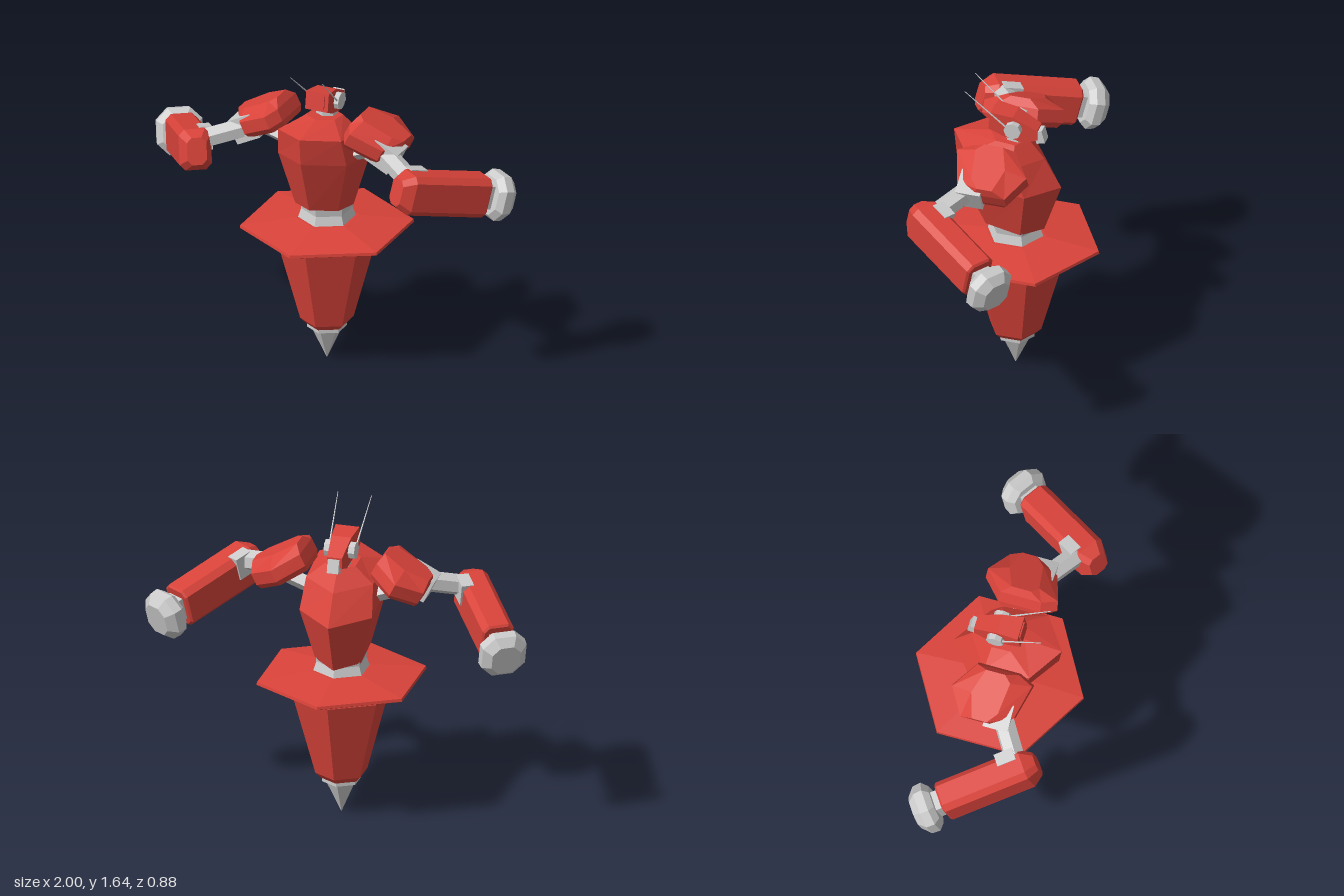
import * as THREE from 'three';

const red = new THREE.MeshStandardMaterial({ color: 0xd9433a, flatShading: true });
const grey = new THREE.MeshStandardMaterial({ color: 0xcccccc, flatShading: true });

function part(name, geometry, material, parent, x = 0, y = 0, z = 0) {
  const mesh = new THREE.Mesh(geometry, material);
  mesh.name = name;
  mesh.position.set(x, y, z);
  parent.add(mesh);
  return mesh;
}

// Skin over a list of rings (arrays of [x, y, z], counter-clockwise seen from the far end)
function loft(rings) {
  const n = rings[0].length, pos = rings.flat(2), idx = [];
  for (let r = 0; r < rings.length - 1; r++) {
    for (let j = 0; j < n; j++) {
      const a = r * n + j, b = r * n + (j + 1) % n;
      idx.push(a, b, b + n, a, b + n, a + n);
    }
  }
  const last = (rings.length - 1) * n;
  for (let j = 1; j < n - 1; j++) {
    idx.push(0, j + 1, j, last, last + j, last + j + 1);
  }
  const g = new THREE.BufferGeometry();
  g.setAttribute('position', new THREE.Float32BufferAttribute(pos, 3));
  g.setIndex(idx);
  const flat = g.toNonIndexed();
  flat.computeVertexNormals();
  return flat;
}

// Six-sided ring with points to front and back; slope raises the front
function hexRing(y, rz, hw = rz * 0.866, cz = 0, slope = 0) {
  return Array.from({ length: 6 }, (_, i) => {
    const a = i * Math.PI / 3, dz = rz * Math.cos(a);
    return [hw / 0.866 * Math.sin(a), y + slope * dz, cz + dz];
  });
}
const hexStack = list => loft(list.map(r => hexRing(...r)));

// Rectangle with cut corners, in the xy plane at z
function cutRect(w, h, c, z) {
  const x = w / 2, y = h / 2;
  return [[x, -y + c], [x, y - c], [x - c, y], [-x + c, y],
    [-x, y - c], [-x, -y + c], [-x + c, -y], [x - c, -y]].map(p => [...p, z]);
}

// Straight bar between two points
function bar(name, a, b, r0, r1, sides, material, parent) {
  const from = new THREE.Vector3(...a), to = new THREE.Vector3(...b);
  const dir = to.clone().sub(from);
  const m = part(name, new THREE.CylinderGeometry(r1, r0, dir.length(), sides), material, parent);
  m.position.copy(from).add(to).multiplyScalar(0.5);
  m.quaternion.setFromUnitVectors(new THREE.Vector3(0, 1, 0), dir.normalize());
  return m;
}

function makeArm(name) {
  const arm = new THREE.Group();
  arm.name = name;

  // Domed shoulder pad, sloping outward
  const shoulder = new THREE.Group();
  shoulder.name = 'shoulder';
  shoulder.position.set(0.315, 1.315, 0.04);
  shoulder.rotation.z = -0.47;
  arm.add(shoulder);
  const outline = [[-0.14, 0.12], [-0.1, 0.2], [0.08, 0.15], [0.14, 0.05],
    [0.14, -0.12], [0, -0.2], [-0.14, -0.1]];
  const padRing = (y, sx, sz) => outline.map(([x, z]) => [x * sx, y, z * sz]);
  part('shoulderPad', loft([padRing(-0.07, 0.94, 0.85), padRing(-0.04, 1, 1),
    padRing(0.025, 1, 0.98), padRing(0.07, 0.92, 0.45)]), red, shoulder);
  part('shoulderJoint', new THREE.BoxGeometry(0.14, 0.13, 0.13), grey, shoulder, 0.085, -0.02, 0.07);

  // Struts from the chest to the elbow
  bar('shoulderStrut', [0.1, 1.17, 0.04], [0.36, 1.25, 0.06], 0.045, 0.04, 4, grey, arm);
  bar('upperArm', [0.33, 1.27, 0.09], [0.58, 1.2, 0.25], 0.055, 0.055, 6, grey, arm);

  // Forearm assembly, local z runs from elbow to hand
  const lower = new THREE.Group();
  lower.name = 'lowerArm';
  lower.position.set(0.7, 1.11, 0.14);
  lower.lookAt(0.7 + 0.54, 1.11 - 0.26, 0.14 - 0.8);
  arm.add(lower);
  part('forearm', loft([cutRect(0.1, 0.14, 0.025, -0.27), cutRect(0.165, 0.21, 0.03, -0.21),
    cutRect(0.165, 0.21, 0.03, 0.24), cutRect(0.145, 0.19, 0.025, 0.25)]), red, lower);
  part('elbowBlock', new THREE.BoxGeometry(0.065, 0.12, 0.1), grey, lower, 0.06, 0.05, -0.14);
  part('wrist', new THREE.BoxGeometry(0.1, 0.12, 0.1), grey, lower, 0, 0, 0.27);
  part('fist', loft([cutRect(0.18, 0.19, 0.05, 0.285), cutRect(0.235, 0.24, 0.06, 0.315),
    cutRect(0.23, 0.235, 0.06, 0.36), cutRect(0.15, 0.16, 0.04, 0.4)]), grey, lower);
  return arm;
}

function makeHead() {
  const head = new THREE.Group();
  head.name = 'head';

  // Side outline in (z, y), extruded across and narrowed toward the back
  const outline = [[0.125, 1.42], [0.11, 1.515], [0, 1.5], [-0.125, 1.435],
    [-0.125, 1.38], [-0.06, 1.355], [0.05, 1.385]];
  const shape = new THREE.Shape(outline.map(([z, y]) => new THREE.Vector2(-z, y)));
  const g = new THREE.ExtrudeGeometry(shape, { depth: 0.126, bevelEnabled: false });
  g.translate(0, 0, -0.063);
  g.rotateY(Math.PI / 2);
  const p = g.attributes.position;
  for (let i = 0; i < p.count; i++) {
    p.setX(i, p.getX(i) * (0.82 + 1.6 * Math.min(p.getZ(i), 0.11)));
  }
  g.computeVertexNormals();
  part('skull', g, red, head);
  const plate = part('facePlate', new THREE.BoxGeometry(0.085, 0.075, 0.015), red, head, 0, 1.467, 0.117);
  plate.rotation.x = -0.16;
  const tail = part('headVent', new THREE.BoxGeometry(0.06, 0.07, 0.045), grey, head, 0, 1.392, -0.132);
  tail.rotation.x = 0.25;
  for (const s of [-1, 1]) {
    const ear = part('ear', new THREE.CylinderGeometry(0.045, 0.045, 0.04, 8), grey, head, s * 0.06, 1.435, -0.005);
    ear.rotation.z = Math.PI / 2;
    bar('antenna', [s * 0.07, 1.45, 0.03], [s * 0.088, 1.635, 0.24], 0.005, 0.002, 5, grey, head);
  }
  return head;
}

export function createModel() {
  const model = new THREE.Group();
  model.name = 'robot';

  // Pointed base
  part('spike', hexStack([[0, 0.002], [0.17, 0.08], [0.17, 0.1], [0.2, 0.1]]), grey, model);
  part('lowerBody', hexStack([[0.19, 0.105], [0.22, 0.135], [0.655, 0.253], [0.685, 0.235]]), red, model);
  part('hipRing', hexStack([[0.67, 0.17], [0.73, 0.19]]), grey, model);

  // Wide six-sided skirt
  part('skirt', hexStack([[0.7, 0.2], [0.722, 0.415], [0.733, 0.44], [0.748, 0.437],
    [0.783, 0.16]]), red, model);
  part('waist', hexStack([[0.77, 0.15], [0.83, 0.13], [0.94, 0.145]]), grey, model);

  // Chest leaning back, highest at the front
  part('chest', hexStack([[0.865, 0.18, 0.12, 0.03, 0.21], [1.145, 0.275, 0.19, 0.035, 0.19],
    [1.295, 0.238, 0.175, 0.086, 0.19], [1.36, 0.1, 0.08, 0.03, 0.1]]), red, model);
  part('neck', new THREE.CylinderGeometry(0.05, 0.06, 0.09, 6), grey, model, 0, 1.37, 0);
  model.add(makeHead());

  // Arms, mirrored
  model.add(makeArm('leftArm'));
  const right = makeArm('rightArm');
  right.scale.x = -1;
  model.add(right);
  return model;
}
